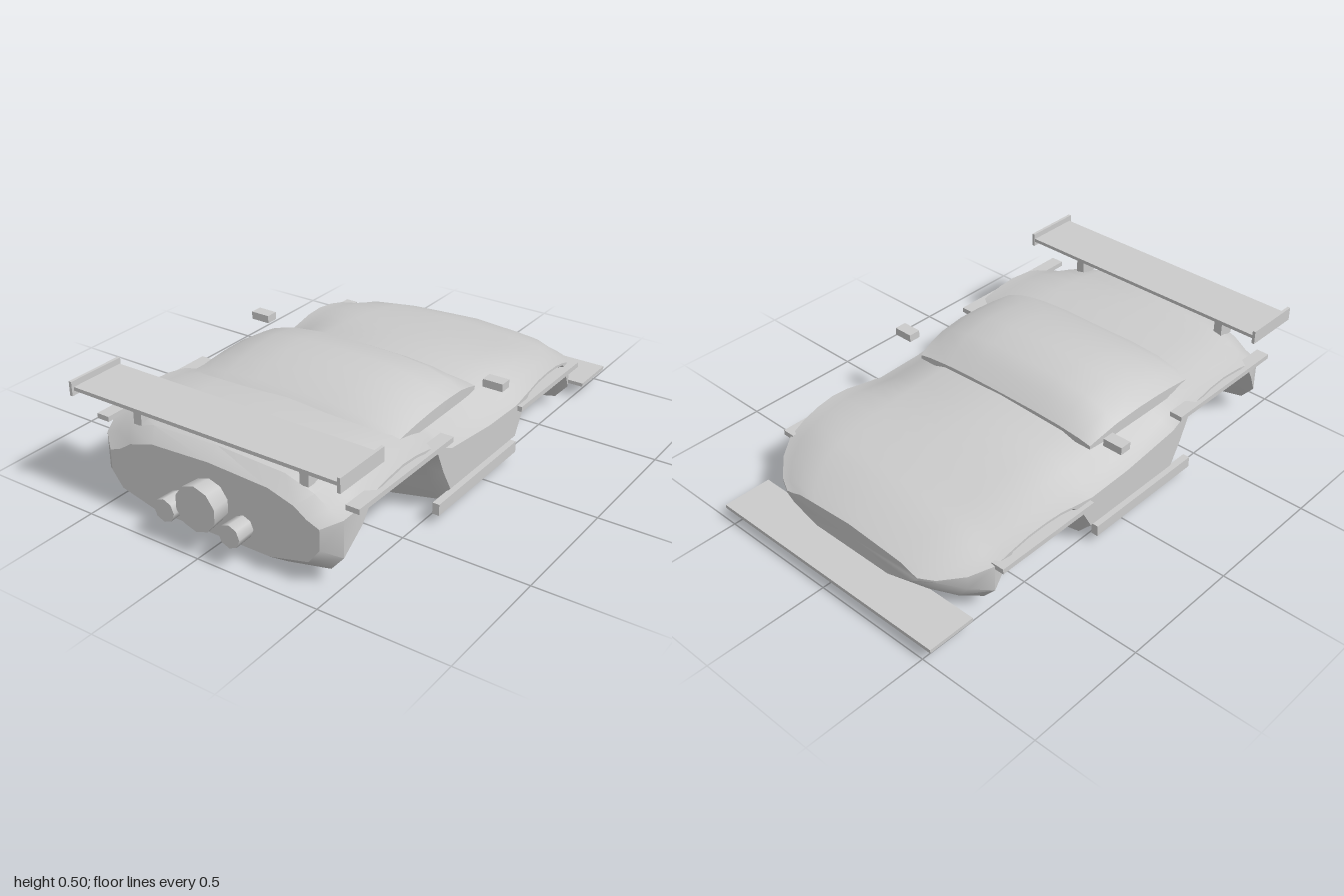
import * as THREE from 'three';
import { toCreasedNormals } from 'three/addons/utils/BufferGeometryUtils.js';

const material = new THREE.MeshStandardMaterial({ color: 0xcccccc, side: THREE.DoubleSide });
const lerp = THREE.MathUtils.lerp;

// Skin mirrored half-sections [x, y], listed from top centre to bottom centre, rear to nose
function loft(sections, crease) {
  const pos = [], idx = [];
  const n = sections[0].half.length * 2 - 2;
  for (const { z, half } of sections) {
    const mirrored = half.slice(1, -1).reverse().map(([x, y]) => [-x, y]);
    for (const [x, y] of [...half, ...mirrored]) pos.push(x, y, z);
  }
  for (let i = 0; i < sections.length - 1; i++) {
    for (let j = 0; j < n; j++) {
      const k = (j + 1) % n, a = i * n, b = a + n;
      idx.push(a + j, a + k, b + j, a + k, b + k, b + j);
    }
  }
  // End caps as fans around a centre point
  for (const i of [0, sections.length - 1]) {
    const { z, half } = sections[i];
    const c = pos.length / 3;
    pos.push(0, (half[0][1] + half[half.length - 1][1]) / 2, z);
    for (let j = 0; j < n; j++) {
      const k = (j + 1) % n;
      if (i === 0) idx.push(c, k, j);
      else idx.push(c, i * n + j, i * n + k);
    }
  }
  const g = new THREE.BufferGeometry();
  g.setAttribute('position', new THREE.Float32BufferAttribute(pos, 3));
  g.setIndex(idx);
  return toCreasedNormals(g, crease);
}

// Body stations: z, half width, top, shoulder, underside (rising over the wheel arches)
const BODY = [
  [0.92, 0.455, 0.337, 0.24, 0.06],
  [0.87, 0.515, 0.38, 0.27, 0.027],
  [0.80, 0.54, 0.388, 0.30, 0.13],
  [0.75, 0.545, 0.392, 0.32, 0.21],
  [0.68, 0.55, 0.397, 0.34, 0.27],
  [0.58, 0.55, 0.40, 0.35, 0.305],
  [0.50, 0.55, 0.395, 0.345, 0.30],
  [0.42, 0.55, 0.385, 0.33, 0.26],
  [0.36, 0.55, 0.38, 0.31, 0.18],
  [0.32, 0.55, 0.375, 0.29, 0.09],
  [0.27, 0.55, 0.37, 0.265, 0],
  [0, 0.55, 0.35, 0.235, 0],
  [-0.20, 0.55, 0.338, 0.23, 0],
  [-0.25, 0.55, 0.335, 0.24, 0.09],
  [-0.30, 0.55, 0.332, 0.25, 0.15],
  [-0.37, 0.55, 0.325, 0.265, 0.19],
  [-0.45, 0.55, 0.317, 0.27, 0.205],
  [-0.53, 0.545, 0.305, 0.262, 0.19],
  [-0.60, 0.54, 0.294, 0.245, 0.14],
  [-0.64, 0.535, 0.287, 0.23, 0.08],
  [-0.68, 0.53, 0.28, 0.215, 0.005],
  [-0.76, 0.48, 0.25, 0.19, 0.035],
  [-0.83, 0.40, 0.22, 0.17, 0.07],
  [-0.86, 0.34, 0.205, 0.165, 0.09],
];

function bodySection([z, w, t, s, b]) {
  const side = Math.min(b + 0.1, s - 0.01);
  return { z, half: [
    [0, t], [0.55 * w, t - 0.012], [0.78 * w, lerp(t, s, 0.45)], [0.89 * w, lerp(t, s, 0.8)],
    [w, s], [w, side], [0.9 * w, Math.min(b + 0.04, side - 0.012)], [0.55 * w, b], [0, b],
  ] };
}

// Cabin stations: z, half width, roof height, base height
const CABIN = [
  [0.54, 0.455, 0.35, 0.33],
  [0.50, 0.457, 0.385, 0.33],
  [0.45, 0.458, 0.408, 0.33],
  [0.36, 0.459, 0.438, 0.33],
  [0.27, 0.459, 0.456, 0.33],
  [0.17, 0.458, 0.462, 0.33],
  [0.05, 0.452, 0.445, 0.325],
  [-0.02, 0.445, 0.405, 0.32],
  [-0.08, 0.435, 0.355, 0.315],
];

function cabinSection([z, w, t, base]) {
  const half = [[0, 1], [0.38, 0.97], [0.66, 0.85], [0.88, 0.62], [1, 0.38], [1, 0], [0, 0]];
  return { z, half: half.map(([u, v]) => [u * w, lerp(base, t, v)]) };
}

export function createModel() {
  const model = new THREE.Group();
  const add = (name, geometry, x = 0, y = 0, z = 0) => {
    const mesh = new THREE.Mesh(geometry, material);
    mesh.name = name;
    mesh.position.set(x, y, z);
    model.add(mesh);
    return mesh;
  };
  // Box given by its limits on each axis
  const box = (name, [x0, x1], [y0, y1], [z0, z1]) =>
    add(name, new THREE.BoxGeometry(x1 - x0, y1 - y0, z1 - z0),
      (x0 + x1) / 2, (y0 + y1) / 2, (z0 + z1) / 2);
  const pair = (name, [x0, x1], y, z) => {
    box('left' + name, [x0, x1], y, z);
    box('right' + name, [-x1, -x0], y, z);
  };

  add('body', loft(BODY.map(bodySection), 0.6));
  add('cabin', loft(CABIN.map(cabinSection), 0.6));

  // Aerodynamic parts
  box('rearWing', [-0.565, 0.565], [0.458, 0.472], [0.735, 0.96]);
  pair('WingEndplate', [0.563, 0.575], [0.44, 0.495], [0.73, 0.97]);
  pair('WingSupport', [0.342, 0.378], [0.345, 0.46], [0.80, 0.87]);
  box('frontSplitter', [-0.54, 0.54], [0.055, 0.07], [-1, -0.8]);

  // Side trim
  pair('SideSkirt', [0.538, 0.566], [0.045, 0.09], [-0.18, 0.37]);
  pair('RearArchTrim', [0.515, 0.568], [0.305, 0.325], [0.29, 0.86]);
  pair('FrontArchTrim', [0.515, 0.568], [0.203, 0.224], [-0.68, -0.21]);
  pair('Mirror', [0.495, 0.577], [0.365, 0.396], [-0.08, -0.03]);

  // Exhausts, flared toward the outlet
  const exhaust = (name, x, y, r, sides) => {
    const g = new THREE.CylinderGeometry(r, r * 0.9, 0.1, sides);
    g.rotateX(Math.PI / 2);
    add(name, g, x, y, 0.948);
  };
  exhaust('centreExhaust', 0, 0.195, 0.088, 10);
  exhaust('leftExhaust', 0.142, 0.14, 0.045, 8);
  exhaust('rightExhaust', -0.142, 0.14, 0.045, 8);

  return model;
}
